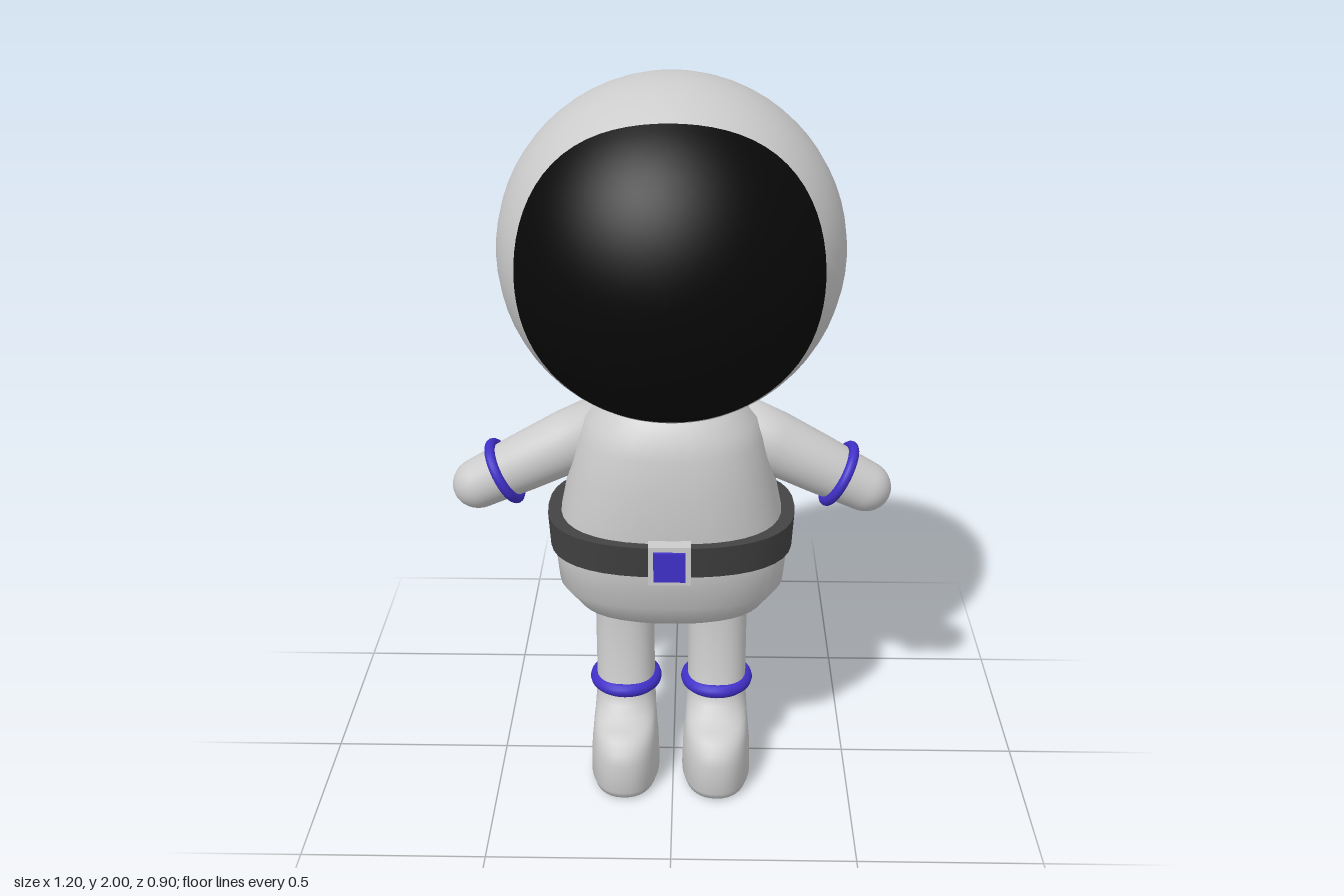
import * as THREE from 'three';
import { toCreasedNormals } from 'three/addons/utils/BufferGeometryUtils.js';
import { RoundedBoxGeometry } from 'three/addons/geometries/RoundedBoxGeometry.js';

const mat = (color) => new THREE.MeshStandardMaterial({ color });
const grey = mat(0xcccccc);
const black = mat(0x080808);
const strap = mat(0x444444);
const blue = mat(0x4030c8);

function add(parent, name, geometry, material, x = 0, y = 0, z = 0) {
  const mesh = new THREE.Mesh(geometry, material);
  mesh.name = name;
  mesh.position.set(x, y, z);
  parent.add(mesh);
  return mesh;
}

// Skin over horizontal superellipse sections: [y, half width, back z, front z]
function loft(sections, power, crease = 0.8, segments = 40) {
  const positions = [], index = [];
  const bend = (v) => Math.sign(v) * Math.pow(Math.abs(v), 2 / power);
  for (const [y, hx, back, front] of sections) {
    for (let i = 0; i < segments; i++) {
      const a = (i / segments) * Math.PI * 2;
      positions.push(hx * bend(Math.cos(a)), y,
        (front + back) / 2 + ((front - back) / 2) * bend(Math.sin(a)));
    }
  }
  for (let j = 0; j < sections.length - 1; j++) {
    for (let i = 0; i < segments; i++) {
      const a = j * segments + i, b = j * segments + (i + 1) % segments;
      const c = a + segments, d = b + segments;
      index.push(a, c, b, b, c, d);
    }
  }
  const g = new THREE.BufferGeometry();
  g.setAttribute('position', new THREE.Float32BufferAttribute(positions, 3));
  g.setIndex(index);
  return toCreasedNormals(g, crease);
}

// Rounded-square patch lying on a sphere of radius R
function visorGeometry(R) {
  const g = new THREE.RingGeometry(0, 1, 72, 18);
  const p = g.attributes.position;
  for (let i = 0; i < p.count; i++) {
    const x = p.getX(i), y = p.getY(i);
    const t = Math.hypot(x, y), a = Math.atan2(y, x);
    const edge = 0.378 + 0.014 * Math.sin(2 * a) ** 2;
    const phi = t * Math.asin(edge / R);
    p.setXYZ(i, R * Math.sin(phi) * Math.cos(a), R * Math.sin(phi) * Math.sin(a), R * Math.cos(phi));
  }
  g.computeVertexNormals();
  return g;
}

export function createModel() {
  const model = new THREE.Group();
  model.name = 'astronaut';
  const figure = new THREE.Group();
  figure.name = 'figure';
  figure.position.x = -0.007;
  model.add(figure);

  // Helmet and visor
  add(figure, 'helmet', new THREE.SphereGeometry(0.447, 48, 32), grey, 0, 1.553, 0);
  add(figure, 'visor', visorGeometry(0.45), black, 0, 1.553, 0);

  // Torso
  add(figure, 'torso', loft([
    [0.495, 0.001, -0.001, 0.001],
    [0.497, 0.16, -0.07, 0.07],
    [0.515, 0.21, -0.13, 0.13],
    [0.55, 0.26, -0.18, 0.185],
    [0.62, 0.312, -0.225, 0.23],
    [0.73, 0.322, -0.232, 0.243],
    [0.83, 0.302, -0.232, 0.25],
    [0.96, 0.275, -0.228, 0.25],
    [1.06, 0.25, -0.222, 0.238],
    [1.11, 0.23, -0.21, 0.225],
    [1.145, 0.195, -0.18, 0.2],
    [1.2, 0.15, -0.14, 0.15],
  ], 2.5), grey);

  // Belt with buckle
  add(figure, 'belt', loft([
    [0.73, 0.333, -0.222, 0.25],
    [0.83, 0.338, -0.24, 0.275],
    [0.83, 0.29, -0.21, 0.235],
    [0.73, 0.29, -0.21, 0.22],
    [0.73, 0.333, -0.222, 0.25],
  ], 2.5, 0.6), strap);
  add(figure, 'buckleFrame', new THREE.BoxGeometry(0.112, 0.112, 0.04), grey, 0, 0.783, 0.266);
  add(figure, 'bucklePlate', new THREE.BoxGeometry(0.084, 0.084, 0.02), blue, 0, 0.783, 0.285);

  // Backpack
  add(figure, 'backpack', new RoundedBoxGeometry(0.37, 0.51, 0.17, 4, 0.035), grey, 0, 0.855, -0.25);

  // Arm profile: length runs from the shoulder to the rounded hand
  const armProfile = [[0, 0], [0.085, 0.0], [0.087, 0.12], [0.08, 0.26], [0.074, 0.34], [0.07, 0.40]];
  for (let i = 1; i <= 8; i++) {
    const a = (i / 8) * Math.PI / 2;
    armProfile.push([0.07 * Math.cos(a), 0.4 + 0.075 * Math.sin(a)]);
  }
  const armGeometry = new THREE.LatheGeometry(
    armProfile.map(([r, l]) => new THREE.Vector2(Math.max(r, 0), l)), 32);
  const wristGeometry = new THREE.TorusGeometry(0.083, 0.014, 12, 40).rotateX(Math.PI / 2);

  // Leg and boot in one skin, toe forward
  const legGeometry = loft([
    [0.004, 0.001, 0.09, 0.092],
    [0.005, 0.08, -0.045, 0.235],
    [0.012, 0.092, -0.058, 0.25],
    [0.03, 0.098, -0.063, 0.256],
    [0.12, 0.095, -0.063, 0.255],
    [0.15, 0.092, -0.063, 0.246],
    [0.175, 0.09, -0.063, 0.222],
    [0.19, 0.088, -0.063, 0.185],
    [0.205, 0.087, -0.063, 0.145],
    [0.23, 0.085, -0.064, 0.117],
    [0.26, 0.083, -0.064, 0.102],
    [0.56, 0.083, -0.064, 0.102],
  ], 2.3, 1.0);
  const ankleGeometry = new THREE.TorusGeometry(0.083, 0.02, 12, 40).rotateX(Math.PI / 2);

  for (const [side, s] of [['left', 1], ['right', -1]]) {
    const arm = new THREE.Group();
    arm.name = side + 'Arm';
    arm.position.set(s * 0.172, 1.066, 0);
    arm.rotation.z = -s * (Math.PI / 2 + 0.475);
    figure.add(arm);
    add(arm, side + 'Sleeve', armGeometry, grey);
    add(arm, side + 'WristBand', wristGeometry, blue, 0, 0.32, 0);

    add(figure, side + 'LegAndBoot', legGeometry, grey, s * 0.131, 0, 0);
    add(figure, side + 'AnkleBand', ankleGeometry, blue, s * 0.131, 0.275, 0.019);
  }
  return model;
}
